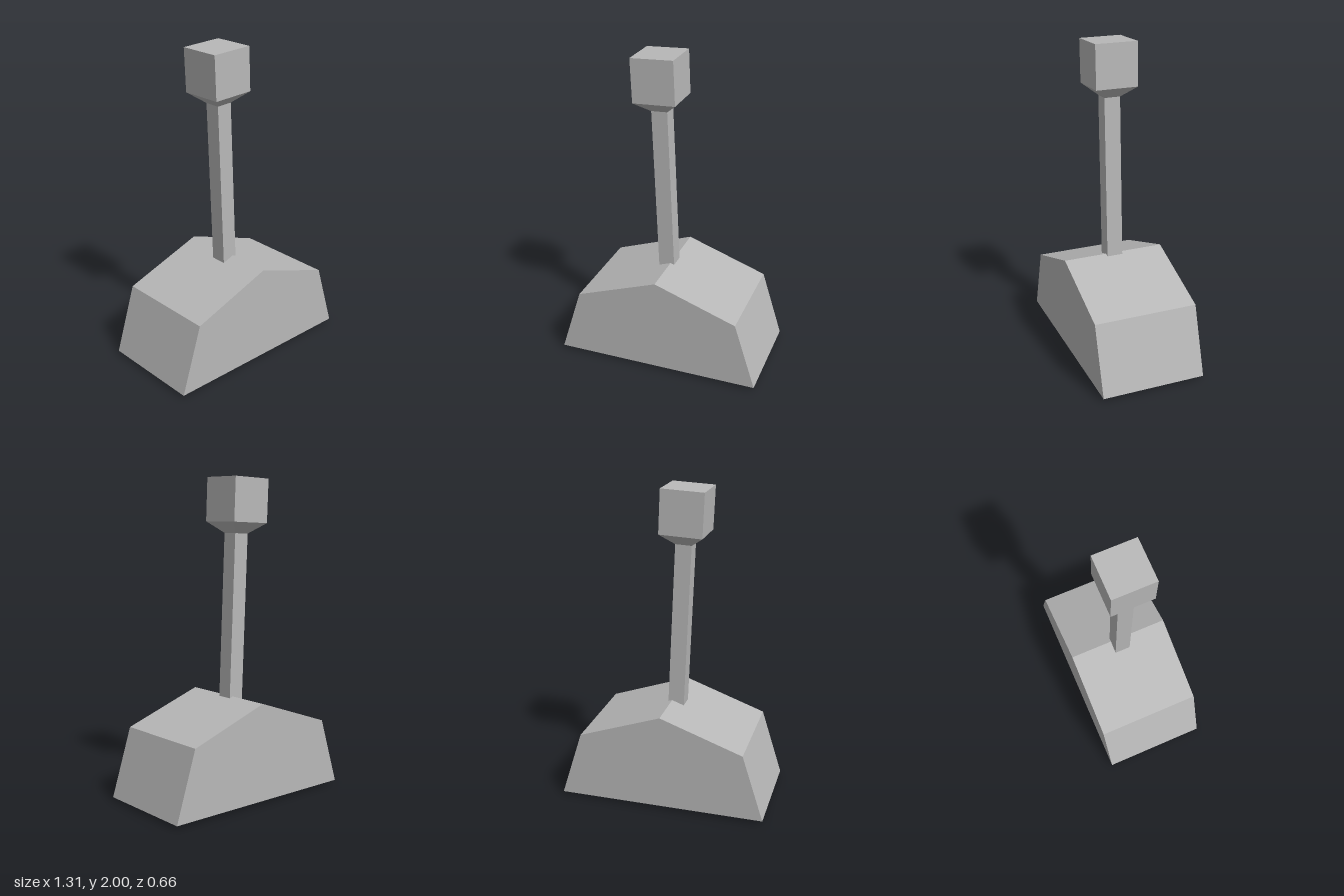
import * as THREE from 'three';

const grey = new THREE.MeshStandardMaterial({ color: 0xb8b8b8, side: THREE.DoubleSide });
grey.name = 'plain grey';

function addMesh(parent, name, geometry) {
  const mesh = new THREE.Mesh(geometry, grey);
  mesh.name = name;
  parent.add(mesh);
  return mesh;
}

// Square section swept up a profile of [halfWidth, height], with flat faces.
function squareLoft(profile) {
  const points = profile.map(([half, y]) => new THREE.Vector2(half * Math.SQRT2, y));
  const geometry = new THREE.LatheGeometry(points, 4, Math.PI / 4).toNonIndexed();
  geometry.computeVertexNormals();
  return geometry;
}

// Hollow housing: an extruded gable outline whose underside is left open.
function housingGeometry(floorY, depth) {
  const outline = new THREE.Shape([
    [-0.657, floorY], [0.657, floorY], [0.522, 0.45], [0, 0.635], [-0.522, 0.45],
  ].map(([x, y]) => new THREE.Vector2(x, y)));
  const solid = new THREE.ExtrudeGeometry(outline, { depth, bevelEnabled: false });
  solid.translate(0, 0, -depth / 2);
  const source = solid.attributes.position;
  const kept = [];
  for (let i = 0; i < source.count; i += 3) {
    const corners = [i, i + 1, i + 2];
    if (corners.every((k) => Math.abs(source.getY(k) - floorY) < 1e-4)) continue;
    corners.forEach((k) => kept.push(source.getX(k), source.getY(k), source.getZ(k)));
  }
  const geometry = new THREE.BufferGeometry();
  geometry.setAttribute('position', new THREE.Float32BufferAttribute(kept, 3));
  geometry.computeVertexNormals();
  return geometry;
}

export function createModel() {
  const model = new THREE.Group();
  model.name = 'lever';

  addMesh(model, 'housing', housingGeometry(0.022, 0.66));

  // The handle leans slightly towards -x and pokes out below the housing.
  const handle = new THREE.Group();
  handle.name = 'handle';
  handle.position.set(0, 0.005, 0);
  handle.rotation.z = 0.0427;
  model.add(handle);

  addMesh(handle, 'shaft', squareLoft([[0.051, 0], [0.051, 1.65]]));
  addMesh(handle, 'collar', squareLoft([[0.051, 1.65], [0.134, 1.718]]));
  addMesh(handle, 'knob', squareLoft([[0.134, 1.718], [0.134, 1.99], [0, 1.99]]));

  return model;
}
